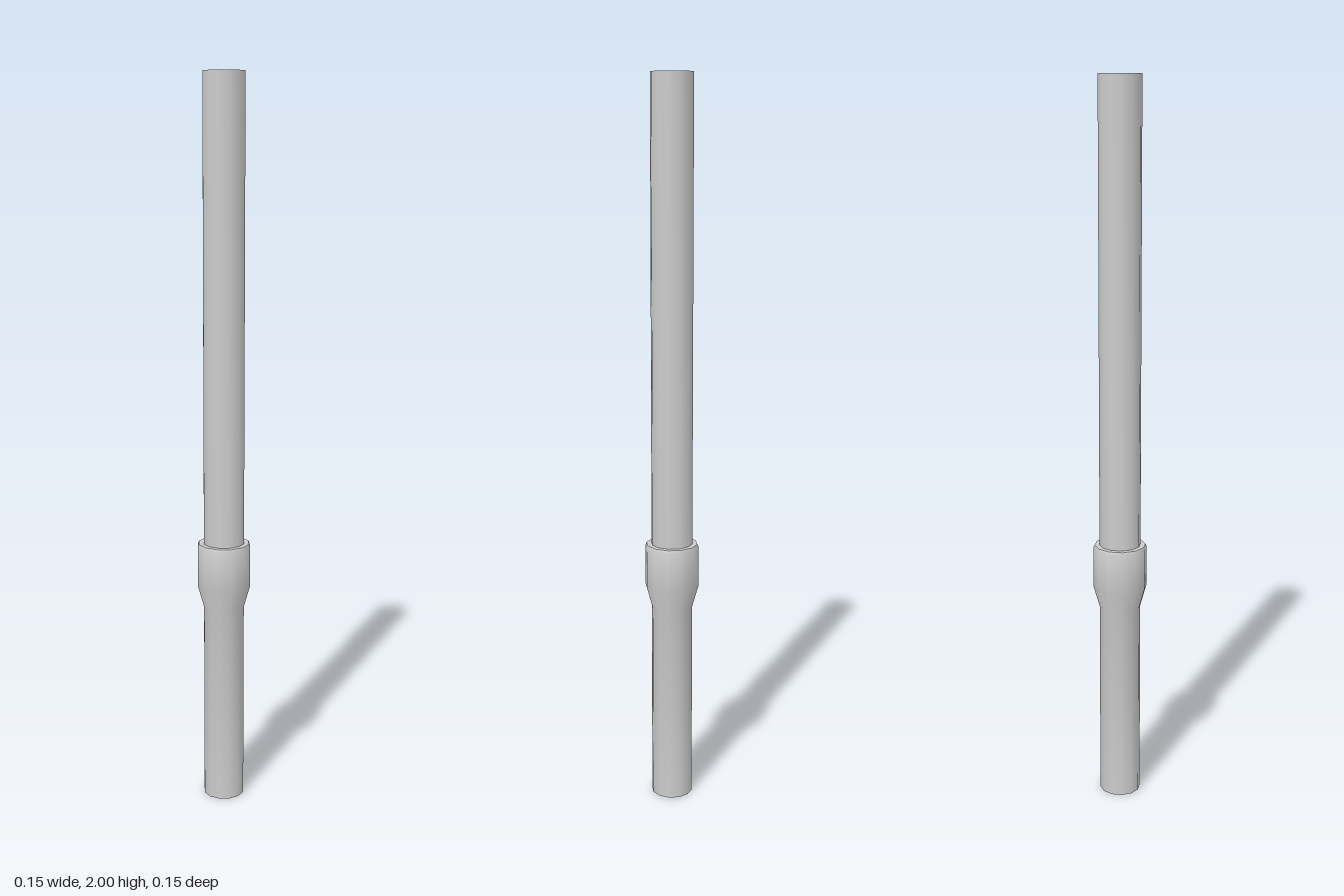
import * as THREE from 'three';
import { toCreasedNormals } from 'three/addons/utils/BufferGeometryUtils.js';

const SIDES = 12;
const PIPE_R = 0.057;
const SOCKET_R = 0.074;

export function createModel() {
  const group = new THREE.Group();
  group.name = 'pipe';
  const material = new THREE.MeshStandardMaterial({ color: 0xcccccc, side: THREE.DoubleSide });

  // Turns a [radius, height] profile into an open, thin-walled part
  function addTurned(name, profile) {
    const points = profile.map(([r, y]) => new THREE.Vector2(r, y));
    const geometry = toCreasedNormals(new THREE.LatheGeometry(points, SIDES), 0.7);
    const mesh = new THREE.Mesh(geometry, material);
    mesh.name = name;
    group.add(mesh);
  }

  // Lower pipe, flaring into the socket with a bevelled rim
  addTurned('lowerPipeWithSocket', [
    [PIPE_R, 0],
    [PIPE_R, 0.56],
    [SOCKET_R, 0.62],
    [SOCKET_R, 0.735],
    [0.071, 0.742],
    [PIPE_R, 0.742],
  ]);

  // Upper pipe, standing in the socket
  addTurned('upperPipe', [
    [PIPE_R, 0.742],
    [PIPE_R, 2],
  ]);

  return group;
}
